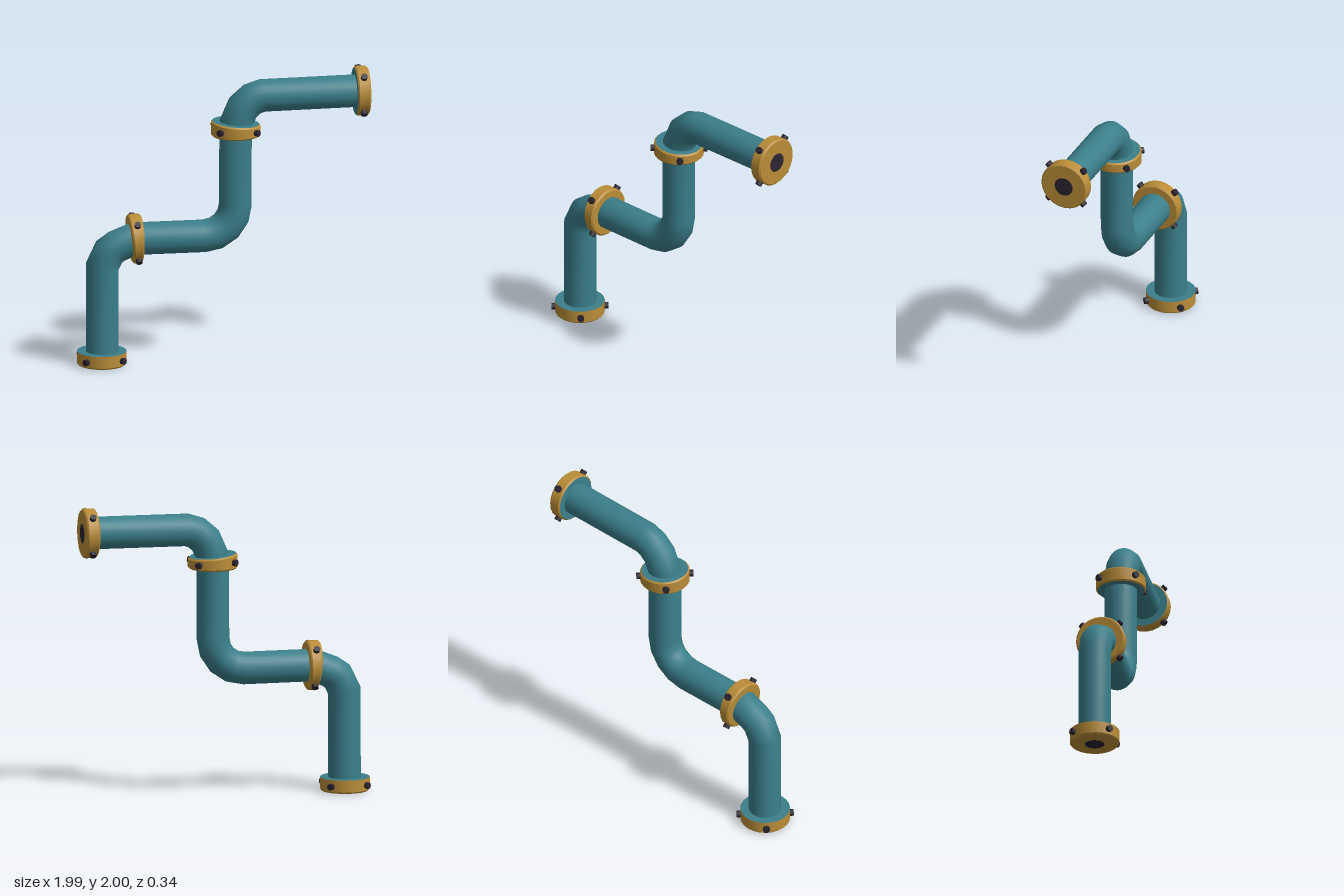
import * as THREE from 'three';
import { toCreasedNormals } from 'three/addons/utils/BufferGeometryUtils.js';

const mat = (name, color) => Object.assign(new THREE.MeshStandardMaterial({ color }), { name });

const PIPE_R = 0.11, FLANGE_R = 0.168, SIDES = 24;

// Sweeps a circle along a flat polyline, mitring the ring at each bend.
function sweepPipe(path) {
  const pos = [], idx = [];
  path.forEach((p, i) => {
    const a = path[Math.max(i - 1, 0)], b = path[Math.min(i + 1, path.length - 1)];
    const d0 = (i ? p.clone().sub(a) : b.clone().sub(p)).normalize();
    const d1 = (i < path.length - 1 ? b.clone().sub(p) : d0.clone()).normalize();
    const t = d0.clone().add(d1).normalize();
    const r = PIPE_R / t.dot(d0);
    for (let s = 0; s < SIDES; s++) {
      const q = s / SIDES * Math.PI * 2, c = Math.cos(q) * r;
      pos.push(p.x - t.y * c, p.y + t.x * c, Math.sin(q) * PIPE_R);
      if (i) {
        const n = (s + 1) % SIDES, lo = (i - 1) * SIDES, hi = i * SIDES;
        idx.push(lo + s, hi + n, lo + n, lo + s, hi + s, hi + n);
      }
    }
  });
  // Reverse the winding if the first wall faces inwards
  const at = k => new THREE.Vector3().fromArray(pos, k * 3);
  const [A, B, C] = idx.slice(0, 3).map(at);
  const facing = B.sub(A).cross(C.sub(A)).dot(at(0).sub(new THREE.Vector3(path[0].x, path[0].y, 0)));
  if (facing < 0) idx.reverse();
  const g = new THREE.BufferGeometry();
  g.setAttribute('position', new THREE.Float32BufferAttribute(pos, 3));
  g.setIndex(idx);
  g.computeVertexNormals();
  return g;
}

export function createModel() {
  const teal = mat('teal pipe paint', 0x3b7f8b);
  const gold = mat('brass', 0xba8d38);
  const dark = mat('dark iron', 0x2b2430);
  const model = new THREE.Group();
  model.name = 'pipeRun';

  const add = (parent, name, geo, material) => {
    const m = new THREE.Mesh(geo, material);
    m.name = name;
    parent.add(m);
    return m;
  };

  // Pipe centre line with three elbows
  const middleElbow = [0, 1, 2, 3, 4].map(i => {
    const q = i * Math.PI / 8;
    return [-0.13 + 0.215 * Math.sin(q), 1.08 - 0.215 * Math.cos(q)];
  });
  const path = [
    [-0.826, 0.03], [-0.823, 0.685], [-0.777, 0.782], [-0.726, 0.818], [-0.605, 0.866],
    ...middleElbow,
    [0.086, 1.635], [0.136, 1.75], [0.2, 1.806], [0.27, 1.828], [0.95, 1.833],
  ].map(([x, y]) => new THREE.Vector2(x, y));
  add(model, 'pipe', sweepPipe(path), teal);

  // Flange: stands on its base along local y, the top face may slope along x
  function flange(name, { x, y, turn = 0, h, slope = 0, bevel = 0.01, topBevel = bevel, base, top, open }) {
    const g = new THREE.Group();
    g.name = name;
    g.position.set(x, y, 0);
    g.rotation.z = turn;
    const tilt = geo => {
      const p = geo.attributes.position;
      for (let i = 0; i < p.count; i++) {
        if (p.getY(i) > h / 2) p.setY(i, p.getY(i) + slope * p.getX(i));
      }
      return geo;
    };
    const profile = [[FLANGE_R - bevel, 0], [FLANGE_R, bevel], [FLANGE_R, h - topBevel]];
    if (topBevel) profile.push([FLANGE_R - topBevel, h]);
    const rim = tilt(new THREE.LatheGeometry(profile.map(p => new THREE.Vector2(...p)), SIDES));
    add(g, 'rim', toCreasedNormals(rim.toNonIndexed(), 0.5), gold);

    const disc = (r, up, level) => {
      const geo = new THREE.CircleGeometry(r, SIDES);
      geo.rotateX(up ? -Math.PI / 2 : Math.PI / 2).translate(0, level, 0);
      tilt(geo).computeVertexNormals();
      return geo;
    };
    add(g, 'baseFace', disc(FLANGE_R - bevel, false, 0), base);
    add(g, 'topFace', disc(FLANGE_R - topBevel, true, h), top);
    if (open) add(g, 'opening', disc(0.066, false, -0.002), dark);

    // Four radial bolts around the rim
    for (let i = 0; i < 4; i++) {
      const q = Math.PI / 4 + i * Math.PI / 2;
      const dir = new THREE.Vector3(Math.cos(q), 0, Math.sin(q));
      const bolt = add(g, 'bolt', new THREE.CylinderGeometry(0.023, 0.023, 0.05, 8), dark);
      bolt.position.copy(dir).multiplyScalar(0.167);
      bolt.position.y = h / 2 + slope * bolt.position.x / 2;
      bolt.quaternion.setFromUnitVectors(new THREE.Vector3(0, 1, 0), dir);
    }
    model.add(g);
  }

  const side = Math.PI / 2;
  flange('bottomFlange', { x: -0.828, y: 0.002, h: 0.092, topBevel: 0, base: gold, top: teal, open: true });
  flange('lowerJointFlange', { x: -0.56, y: 0.866, turn: side, h: 0.076, slope: 0.09, base: gold, top: gold });
  flange('upperJointFlange', { x: 0.087, y: 1.56, h: 0.09, slope: -0.09, base: teal, top: teal });
  flange('endFlange', { x: 0.988, y: 1.832, turn: side, h: 0.088, base: gold, top: teal, open: true });
  return model;
}
